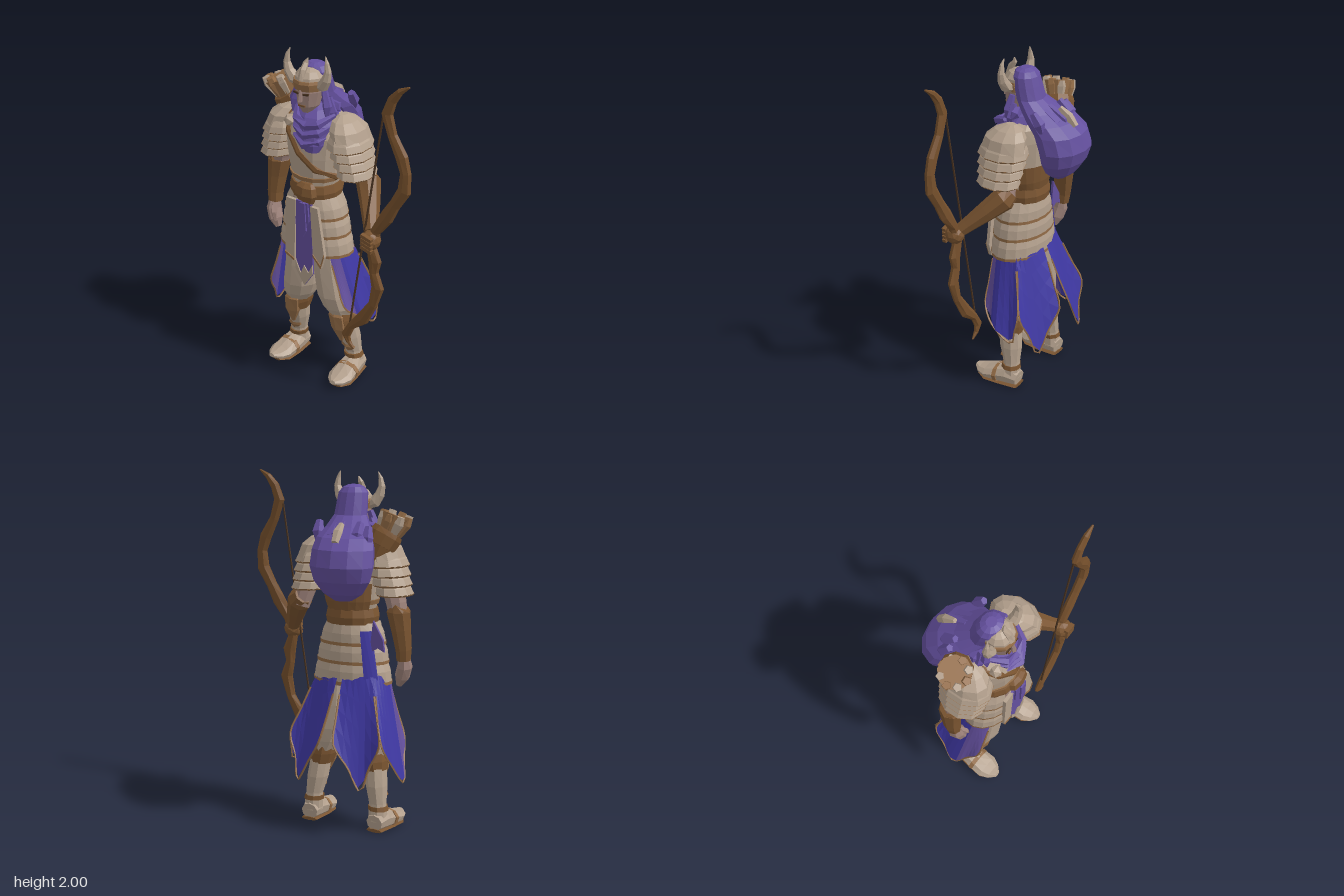
import * as THREE from 'three';
import { ParametricGeometry } from 'three/addons/geometries/ParametricGeometry.js';

const mat = (name, color) => {
  const m = new THREE.MeshStandardMaterial({ color, flatShading: true, side: THREE.DoubleSide });
  m.name = name;
  return m;
};
const V = (x, y, z) => new THREE.Vector3(x, y, z);
const lerp = THREE.MathUtils.lerp;
const CX = -0.16; // body axis

// Skin of elliptical sections [x, y, z, sideRadius, depthRadius] along a path
function loft(points, sides = 8, { level = false, ref = V(0, 0, 1), a0 = 0, a1 = Math.PI * 2, cap = true } = {}) {
  let pts = points.map(p => [p[0], p[1], p[2], p[3], p[4] ?? p[3]]);
  const n0 = pts.length;
  const frames = pts.map((p, i) => {
    const a = pts[Math.max(i - 1, 0)], b = pts[Math.min(i + 1, n0 - 1)];
    const T = level ? V(0, 1, 0) : V(b[0] - a[0], b[1] - a[1], b[2] - a[2]).normalize();
    const N = ref.clone().addScaledVector(T, -ref.dot(T)).normalize();
    return [N, T.clone().cross(N)];
  });
  if (cap) {
    const first = pts[0], last = pts[n0 - 1];
    pts = [[first[0], first[1], first[2], 0, 0], ...pts, [last[0], last[1], last[2], 0, 0]];
    frames.unshift(frames[0]);
    frames.push(frames[frames.length - 1]);
  }
  const n = pts.length - 1;
  return new ParametricGeometry((u, v, out) => {
    const i = Math.round(v * n), p = pts[i], [N, B] = frames[i], a = lerp(a0, a1, u);
    out.set(p[0], p[1], p[2]).addScaledVector(N, p[4] * Math.cos(a)).addScaledVector(B, p[3] * Math.sin(a));
  }, sides, n);
}

export function createModel() {
  const root = new THREE.Group();
  root.name = 'hornedArcher';
  const plate = mat('bone plate', 0xb3a08d), brown = mat('leather', 0x7b5531), dark = mat('dark leather', 0x4b3421);
  const tan = mat('tan trim', 0x936c47), purple = mat('purple cloth', 0x64509e), blue = mat('blue cloth', 0x3f38a3);
  const skin = mat('skin', 0x9c8179), wood = mat('bow wood', 0x76502c);

  const add = (name, geo, m, parent = root) => {
    const mesh = new THREE.Mesh(geo, m);
    mesh.name = name;
    parent.add(mesh);
    return mesh;
  };
  const box = (name, m, w, h, d, x, y, z, rz, parent = root) => {
    const b = add(name, new THREE.BoxGeometry(w, h, d), m, parent);
    b.position.set(x, y, z);
    b.rotation.z = rz;
  };
  const level = { level: true };

  // Torso armour and belt
  add('chestArmour', loft([[CX, 1.15, .075, .135, .13], [CX, 1.25, .075, .135, .125], [CX, 1.31, .075, .15, .13], [CX, 1.42, .075, .165, .14],
    [CX, 1.54, .07, .18, .145], [CX, 1.62, .055, .17, .125], [CX, 1.68, .045, .09, .085]], 14, level), plate);
  add('chestHem', loft([[CX, 1.28, .075, .15, .134], [CX, 1.305, .075, .157, .138]], 14, level), tan);
  add('backWrap', loft([[CX, 1.25, .075, .142, .135], [CX, 1.3, .07, .158, .14], [CX, 1.4, .07, .17, .148]], 8, { level: true, cap: false, a0: 2, a1: 4.28 }), brown);
  add('belt', loft([[CX, 1.17, .075, .147, .138], [CX, 1.21, .075, .155, .145], [CX, 1.255, .075, .145, .136]], 14, level), brown);
  add('beltPouch', loft([[-.13, 1.16, .21, .05, .02], [-.13, 1.21, .215, .075, .035], [-.13, 1.255, .21, .065, .03], [-.13, 1.275, .2, .04, .015]], 7, level), brown);
  add('chestStrap', loft([[-.31, 1.63, .1, .022, .015], [-.26, 1.55, .185, .022, .015], [-.17, 1.45, .216, .022, .015],
    [-.08, 1.36, .19, .022, .015], [-.005, 1.3, .09, .022, .015]], 6), brown);
  add('strapClasp', new THREE.IcosahedronGeometry(.038, 0), plate).position.set(-.265, 1.6, .165);

  // Layered hip plates, open at the front
  [[1.06, 1.18, .195, .15], [.955, 1.08, .215, .18], [.84, .975, .236, .2]].forEach(([y0, y1, r0, r1], i) => {
    const gap = { level: true, cap: false, a0: .45, a1: Math.PI * 2 - .45 };
    const d0 = .144 + i * .005, d1 = d0 - .014;
    add('hipPlate', loft([[CX, y0, .08, r0 - .02, d0 - .02], [CX, y0, .08, r0, d0], [CX, (y0 + y1) / 2, .08, (r0 + r1) / 2 + .008, d0], [CX, y1, .08, r1, d1]], 16, gap), plate);
    add('hipPlateTrim', loft([[CX, y0 - .006, .08, r0 + .003, d0 + .003], [CX, y0 + .012, .08, r0 + .003, d0 + .003]], 16, gap), tan);
  });
  add('hipLining', loft([[CX, .82, .08, .19, .125], [CX, 1.17, .075, .135, .125]], 12, level), skin);

  // Hanging cloth at the front
  const cloth = (name, m, pts, z, depth = .012) => {
    const s = new THREE.Shape(pts.map(p => new THREE.Vector2(...p)));
    return add(name, new THREE.ExtrudeGeometry(s, { depth, bevelEnabled: false }).translate(0, 0, z), m);
  };
  cloth('loincloth', purple, [[-.195, 1.16], [-.2, .72], [-.14, .63], [-.08, .72], [-.085, 1.16]], .212);
  cloth('loinclothHem', plate, [[-.2, .78], [-.2, .72], [-.14, .63], [-.08, .72], [-.08, .78], [-.11, .72], [-.14, .76], [-.165, .7]], .224, .006);
  cloth('rightFrontPanel', plate, [[-.26, 1.16], [-.275, .8], [-.21, .77], [-.19, 1.16]], .208, .02);
  cloth('rightPanelTrim', tan, [[-.275, .815], [-.275, .8], [-.21, .77], [-.209, .785]], .228, .005);
  cloth('leftFrontPanel', plate, [[-.09, 1.15], [-.075, .84], [-.02, .78], [.005, .86], [-.04, 1.15]], .208, .02);
  cloth('leftPanelTrim', tan, [[-.075, .855], [-.075, .84], [-.02, .78], [.005, .86], [.002, .875], [-.02, .8]], .228, .005);
  [[-.155, 1.02], [-.11, 1.05], [-.125, .99]].forEach(([x, y], i) =>
    cloth('sashTail', purple, [[x - .02, 1.17], [x - .025, y], [x, y - .03], [x + .022, y + .01], [x + .015, 1.17]], .226 + i * .008, .01));
  cloth('hipCloth', purple, [[-.33, 1.2], [-.39, 1.1], [-.4, 1.03], [-.36, 1.05], [-.31, 1.02]], -.01, .015);
  add('backHipCloth', loft([[CX, .84, .08, .245, .157], [CX, 1.14, .08, .185, .147]], 3, { level: true, cap: false, a0: 3.75, a1: 4.15 }), blue);

  // Split, pointed skirt: purple towards the front, blue around the back
  const squared = t => Math.sign(t) * Math.abs(t) ** .85;
  const skirtPoint = (a0, a1, tipU, tipY) => (u, v, out) => {
    const f = 1 - v, a = lerp(a0, a1, .5 + (u - .5) * (1 - .1 * f * f));
    const hem = lerp(.53, tipY, u < tipU ? u / tipU : (1 - u) / (1 - tipU));
    const r = 1 + .03 * f * Math.cos((u - .5) * Math.PI * 4);
    return out.set(-.17 + (.205 + .13 * f) * r * squared(Math.sin(a)), lerp(hem, .9, v), .075 - .065 * f + (.135 + .085 * f) * r * squared(Math.cos(a)));
  };
  [[.8, 2.05, .85, .36, 0, .3], [2, 3.05, .45, .28, 0, 0], [3.15, 4.05, .55, .28, 0, 0], [4, 5.48, .5, .3, .55, 1]].forEach(([a0, a1, tipU, tipY, p0, p1]) => {
    const f = skirtPoint(a0, a1, tipU, tipY);
    const part = (u0, u1, m) => u1 > u0 && add('skirtPanel', new ParametricGeometry((u, v, out) => f(lerp(u0, u1, u), v, out), 6, 4), m);
    part(p0, p1, purple);
    part(0, p0, blue);
    part(p1, 1, blue);
    const edge = [[0, .7], [0, .35], [0, 0], [tipU / 2, 0], [tipU, 0], [(1 + tipU) / 2, 0], [1, 0], [1, .35], [1, .7]].map(([u, v]) => f(u, v, V(0, 0, 0)));
    add('skirtTrim', new THREE.TubeGeometry(new THREE.CatmullRomCurve3(edge), 28, .006, 4), tan);
  });

  // Legs, boots, shoulders: both sides
  for (const s of [-1, 1]) {
    const P = list => list.map(([x, ...r]) => [CX + s * x, ...r]);
    const L = list => list.map(([x, ...r]) => [-.154 + s * x, ...r]);
    add('trouserLeg', loft(L([[.158, .42, .055, .07, .083], [.145, .48, .065, .1, .105], [.125, .56, .07, .112, .12],
      [.105, .7, .07, .108, .125], [.09, .88, .07, .1, .125]]), 10, level), plate);
    add('kneeCuff', loft(L([[.175, .34, .05, .066, .078], [.165, .4, .055, .077, .09], [.158, .445, .058, .075, .09]]), 9, level), brown);
    add('kneeGuard', loft(L([[.18, .25, .1, .012, .012], [.172, .34, .115, .05, .03], [.163, .43, .125, .055, .03], [.16, .46, .12, .03, .015]]), 6, level), tan);
    add('shin', loft(L([[.21, .06, .01, .058, .055], [.205, .16, .015, .05, .05], [.19, .26, .03, .062, .068], [.178, .36, .045, .06, .072]]), 9, level), plate);
    add('ankleStrap', loft(L([[.21, .12, .015, .059, .058], [.205, .145, .018, .057, .057]]), 9, level), brown);
    add('shinTrim', loft(L([[.205, .17, .05, .02, .02], [.2, .2, .055, .05, .03], [.195, .22, .055, .045, .028]]), 6, level), tan);
    add('foot', loft(L([[.21, .055, -.04, .05, .047], [.214, .064, .03, .064, .064], [.218, .055, .1, .073, .053],
      [.224, .045, .17, .077, .037], [.228, .045, .22, .055, .025], [.23, .055, .255, .02, .012]]), 9, { ref: V(0, 1, 0) }), plate);
    add('sole', loft(L([[.21, .01, -.042, .05, .01], [.216, .01, .08, .066, .01], [.224, .012, .17, .07, .01], [.228, .02, .225, .04, .008]]), 8, { ref: V(0, 1, 0) }), brown);
    add('toeStrap', loft(L([[.218, .055, .085, .077, .057], [.22, .053, .11, .078, .053]]), 9, { ref: V(0, 1, 0) }), tan);

    // Shoulder plates stepping down over the arm
    add('shoulderCap', loft(P([[.23, 1.53, .058, .09, .14], [.205, 1.6, .055, .09, .125], [.18, 1.64, .05, .065, .085], [.165, 1.665, .045, .02, .03]]), 10, level), plate);
    for (let i = 0; i < 4; i++) {
      const y = 1.505 - i * .052, x = .222 + i * .015, r = .105 - i * .005, d = .152 - i * .007;
      const tilt = y0 => [x + (y - y0) * .2, y0];
      add('shoulderPlate', loft(P([[...tilt(y), .06, r + .012, d], [...tilt(y + .035), .06, r + .002, d - .01], [...tilt(y + .08), .058, r - .03, d - .035]]), 10, level), plate);
      add('shoulderTrim', loft(P([[...tilt(y - .008), .06, r + .004, d - .01], [...tilt(y + .002), .06, r + .013, d + .001]]), 10, level), tan);
    }
  }

  // Right arm hanging
  add('rightUpperArm', loft([[-.475, 1.2, .02, .05], [-.455, 1.3, .025, .058], [-.41, 1.45, .04, .07]], 8), skin);
  add('rightBracer', loft([[-.495, .99, .04, .04, .045], [-.497, 1.05, .035, .045, .05], [-.485, 1.16, .025, .055, .06], [-.47, 1.26, .02, .068, .07], [-.49, 1.29, .02, .05, .055]], 8), brown);
  add('rightHand', loft([[-.455, .84, .07, .018, .02], [-.475, .89, .065, .042, .045], [-.495, .95, .055, .042, .05], [-.495, 1, .045, .032, .036]], 7), skin);
  add('rightThumb', loft([[-.45, .89, .1, .01], [-.462, .94, .098, .018], [-.48, .98, .07, .018]], 5), skin);

  // Left arm reaching to the bow
  add('leftUpperArm', loft([[.13, 1.25, -.005, .052], [.11, 1.33, .01, .058], [.08, 1.45, .04, .07]], 8), skin);
  add('leftBracer', loft([[.105, 1.31, -.02, .05, .05], [.14, 1.28, .0, .072, .068], [.2, 1.21, .07, .058, .058], [.265, 1.13, .15, .044, .044], [.29, 1.1, .18, .04, .04]], 8), brown);
  const hand = add('leftHand', new THREE.IcosahedronGeometry(.055, 1), brown);
  hand.scale.set(1, 1.05, 1.05);
  hand.position.set(.31, 1.07, .212);
  for (let i = 0; i < 4; i++) box('finger', brown, .07, .02, .025, .315, 1.035 + i * .023, .258, -.25);

  // Bow and string
  add('bow', loft([[.525, 1.99, .2, .005], [.47, 1.955, .2, .018], [.425, 1.9, .2, .028, .02], [.395, 1.82, .2, .034, .022], [.43, 1.71, .2, .028, .022],
    [.49, 1.6, .2, .038, .024], [.515, 1.52, .2, .032, .024], [.508, 1.42, .2, .04, .026], [.45, 1.32, .2, .034, .024], [.4, 1.23, .2, .042, .026],
    [.335, 1.13, .2, .03, .026], [.305, 1.03, .2, .03, .026], [.33, .94, .2, .042, .026], [.325, .87, .2, .028, .024], [.35, .78, .2, .04, .024],
    [.32, .66, .2, .028, .022], [.25, .54, .2, .04, .022], [.17, .46, .2, .024, .02], [.135, .39, .2, .03, .018], [.155, .345, .2, .014], [.19, .31, .2, .005]], 7), wood);
  add('bowString', loft([[.155, .43, .2, .006], [.372, 1.81, .2, .006]], 5), dark);

  // Head, face and horned helmet
  const head = new THREE.Group();
  head.name = 'head';
  head.position.z = .02;
  root.add(head);
  add('face', loft([[-.165, 1.67, .115, .03, .035], [-.165, 1.71, .105, .06, .065], [-.165, 1.79, .095, .078, .08], [-.165, 1.87, .085, .075, .075]], 10, level), skin, head);
  add('nose', loft([[-.165, 1.745, .185, .016, .014], [-.165, 1.81, .175, .008, .008]], 5, level), skin, head);
  box('mouth', brown, .045, .01, .008, -.165, 1.715, .168, 0, head);
  for (const s of [-1, 1]) {
    box('eye', dark, .036, .01, .008, -.165 + s * .032, 1.785, .172, s * .2, head);
    add('horn', loft([[.06, 1.82, .1, .025], [.1, 1.835, .11, .034], [.126, 1.875, .115, .028], [.138, 1.92, .115, .02], [.131, 1.965, .115, .012], [.118, 2, .11, .002]]
      .map(([x, ...r]) => [-.165 + s * x, ...r]), 7), plate, head);
    // Locks beside the face
    [[.085, 1.79, .115, 1.63], [.1, 1.75, .13, 1.6], [.09, 1.72, .15, 1.68]].forEach(([x, y, x2, y2], i) =>
      add('hairLock', loft([[-.165 + s * x2, y2, .1 - i * .03, .006], [-.165 + s * (x + x2) / 2 + s * .012, (y + y2) / 2, .09 - i * .03, .028], [-.165 + s * x, y, .08 - i * .02, .018]], 5), purple, head));
  }
  add('helmet', loft([[-.165, 1.83, .095, .086, .088], [-.165, 1.87, .092, .082, .083], [-.165, 1.9, .092, .06, .06], [-.165, 1.915, .09, .03, .03]], 10, level), plate, head);
  add('browBand', loft([[-.165, 1.8, .1, .083, .08], [-.165, 1.84, .1, .09, .09], [-.165, 1.855, .098, .086, .086]], 10, level), tan, head);
  add('crest', loft([[-.165, 1.86, .175, .02, .012], [-.165, 1.91, .15, .02, .02], [-.165, 1.945, .125, .016, .014], [-.155, 1.972, .12, .003]], 5), plate, head);

  // Scarf and the full hood hanging at the back
  add('scarf', loft([[-.1, 1.47, .18, .045, .04], [-.12, 1.51, .15, .09, .08], [-.135, 1.57, .105, .12, .115], [-.14, 1.61, .08, .14, .13],
    [-.15, 1.65, .065, .125, .12], [-.16, 1.685, .05, .105, .1], [-.165, 1.71, .04, .075, .07]], 11, level), purple);
  [1.53, 1.58, 1.63].forEach((y, i) => add('scarfFold', loft([[-.27, y + .05, .09, .012], [-.2, y + .01, .19, .025], [-.13, y - .02, .222 - i * .012, .026], [-.06, y, .185, .025], [-.01, y + .04, .1, .012]], 5, { ref: V(0, 1, 0) }), purple));
  add('hood', loft([[-.21, 1.32, -.13, .05, .04], [-.215, 1.36, -.14, .115, .08], [-.215, 1.43, -.155, .165, .11], [-.215, 1.51, -.16, .185, .13],
    [-.21, 1.6, -.13, .18, .135], [-.195, 1.66, -.08, .165, .125], [-.18, 1.71, -.02, .13, .1], [-.165, 1.77, .035, .095, .075], [-.165, 1.84, .055, .09, .075],
    [-.165, 1.89, .065, .084, .07], [-.165, 1.918, .07, .062, .056], [-.165, 1.932, .07, .03, .028]], 12, level), purple);
  for (let i = 0; i < 7; i++) {
    const x = -.35 + i * .05, y = 1.655 + .025 * Math.sin(i * 2.3);
    add('hoodTuft', loft([[x, y - .07, -.2 + Math.abs(i - 3) * .025, .006], [x + .01, y, -.165 + Math.abs(i - 3) * .02, .034], [x + .02, y + .06, -.07, .02]], 5), purple);
  }
  add('hoodClasp', loft([[-.21, 1.64, -.225, .02], [-.205, 1.69, -.185, .026], [-.2, 1.73, -.13, .015]], 5), plate);

  // Quiver over the right shoulder
  add('quiver', loft([[-.33, 1.5, -.03, .06], [-.36, 1.58, -.015, .07], [-.385, 1.65, .0, .08]], 9), brown);
  add('quiverRim', loft([[-.37, 1.61, -.012, .084], [-.392, 1.665, .01, .092], [-.405, 1.69, .02, .085]], 9), brown);
  add('arrowBundle', loft([[-.4, 1.67, .015, .065], [-.437, 1.775, .04, .09]], 9), tan);
  for (let i = 0; i < 8; i++) {
    const a = i * Math.PI / 4, x = Math.cos(a), z = Math.sin(a);
    add('arrowFletching', loft([[-.4 + x * .05, 1.67 + x * .02, .015 + z * .05, .018], [-.433 + x * .067, 1.75 + x * .025, .035 + z * .07, .028],
      [-.442 + x * .07, 1.785 + x * .02, .042 + z * .075, .022]], 5), i % 2 ? plate : tan);
  }
  return root;
}
